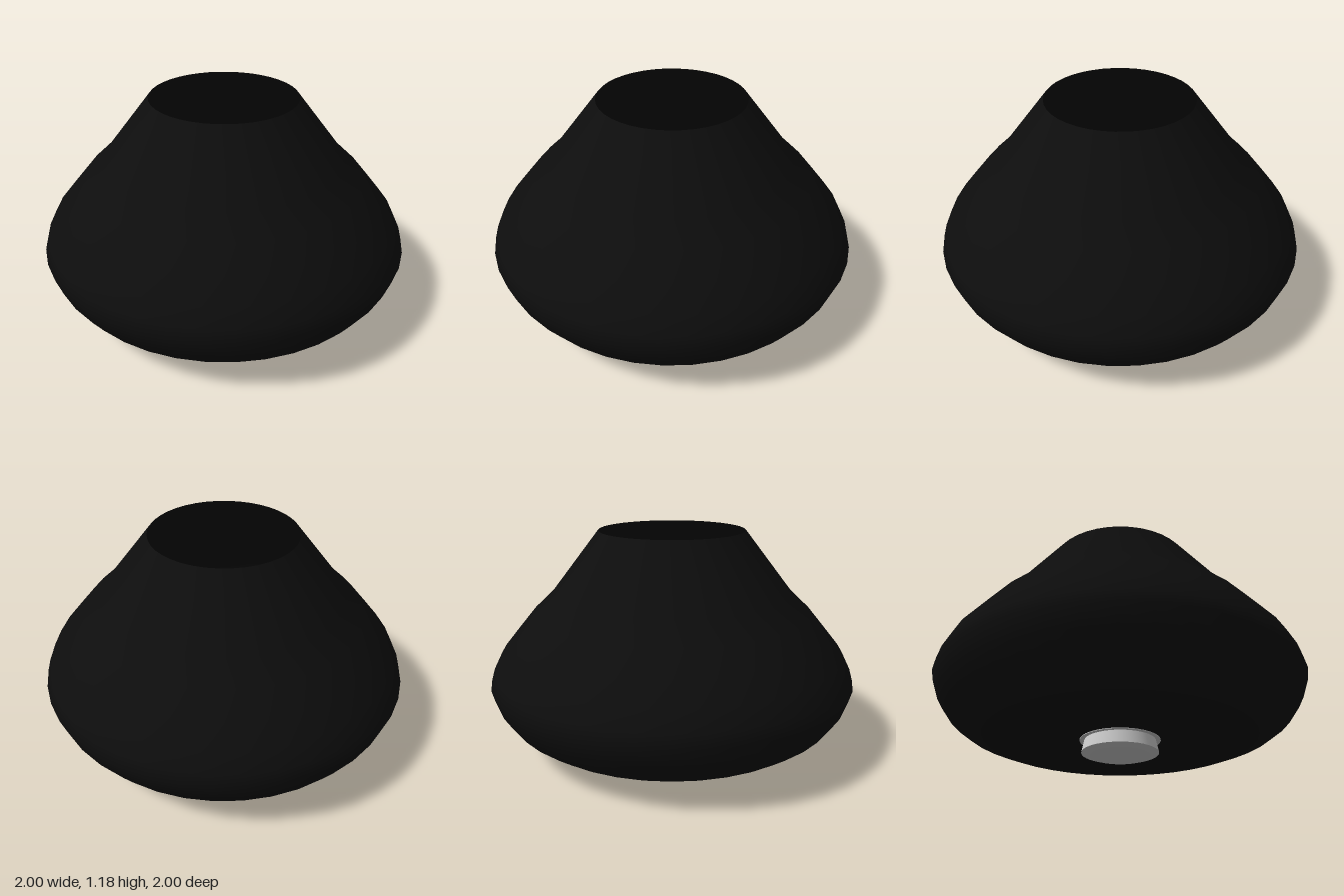
import * as THREE from 'three';

const SEGMENTS = 40;

// Revolves a profile of [radius, height] pairs, listed from bottom to top.
function revolve(name, profile, material) {
  const points = profile.map(([r, y]) => new THREE.Vector2(r, y));
  const mesh = new THREE.Mesh(new THREE.LatheGeometry(points, SEGMENTS), material);
  mesh.name = name;
  return mesh;
}

export function createModel() {
  const black = new THREE.MeshStandardMaterial({ color: 0x0d0d0d, side: THREE.DoubleSide });
  black.name = 'shade black';
  const grey = new THREE.MeshStandardMaterial({ color: 0xcccccc, side: THREE.DoubleSide });
  grey.name = 'diffuser light grey';

  const model = new THREE.Group();
  model.name = 'lampShade';

  // Thin bell wall, open at the top
  model.add(revolve('shadeWall', [
    [0.725, 0.09], [0.83, 0.13], [0.905, 0.185], [0.965, 0.27], [1, 0.37],
    [0.98, 0.44], [0.935, 0.53], [0.85, 0.635], [0.755, 0.75], [0.65, 0.85],
    [0.395, 1.18],
  ], black));

  // Flat floor closing the underside
  model.add(revolve('shadeFloor', [[0, 0.09], [0.725, 0.09]], black));

  // Round diffuser below the floor; each band is separate to keep its edges sharp
  const diffuser = new THREE.Group();
  diffuser.name = 'diffuser';
  const outline = [[0, 0], [0.16, 0.005], [0.205, 0.02], [0.19, 0.087], [0.215, 0.087], [0.215, 0.094], [0, 0.094]];
  for (let i = 0; i < outline.length - 1; i++) {
    diffuser.add(revolve('diffuserBand', [outline[i], outline[i + 1]], grey));
  }
  model.add(diffuser);

  // Dark ring on the inner face of the diffuser
  model.add(revolve('innerRing', [[0.105, 0.097], [0.132, 0.097]], black));

  return model;
}
